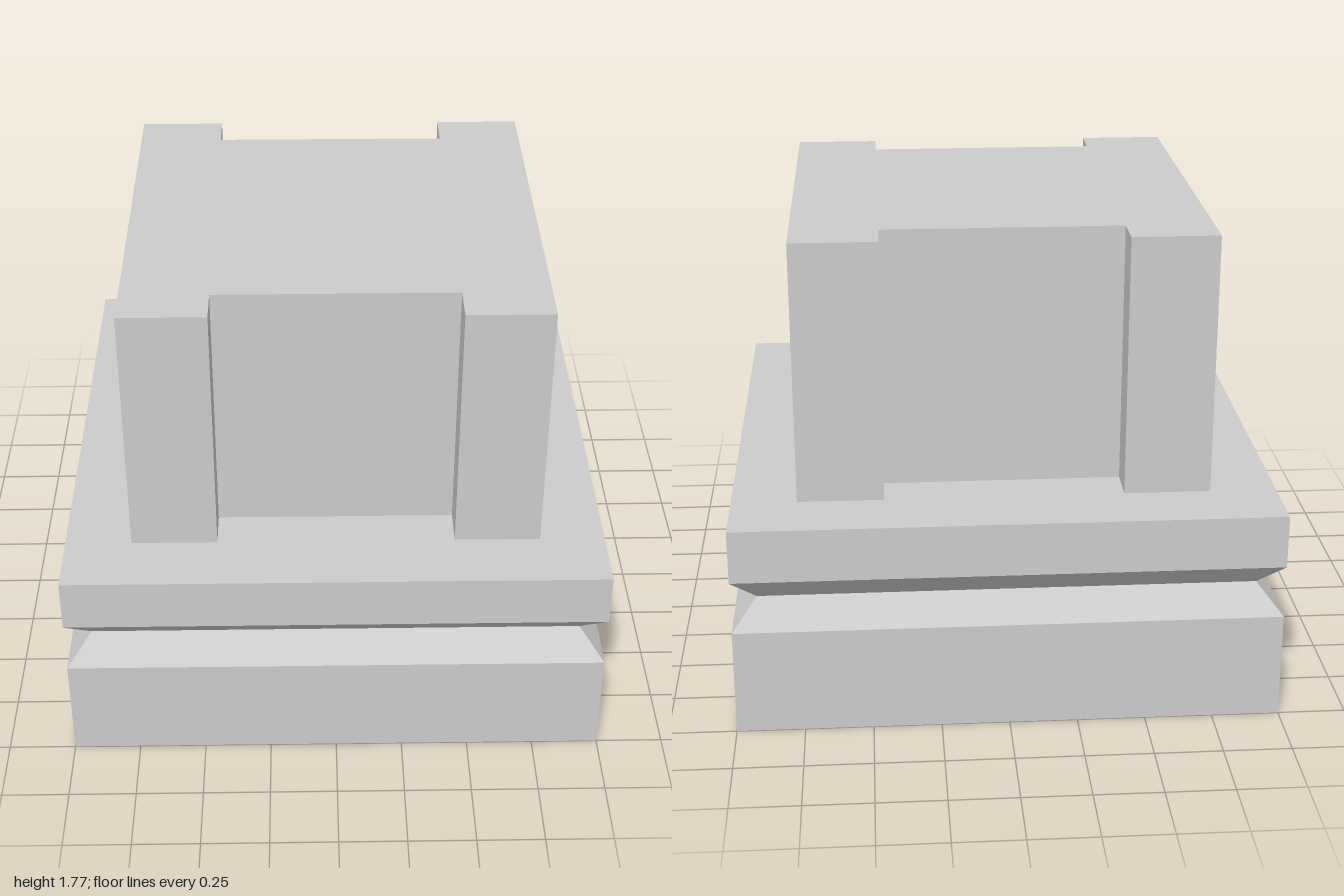
import * as THREE from 'three';

export function createModel() {
  const model = new THREE.Group();
  const grey = new THREE.MeshStandardMaterial({ color: 0xcccccc });
  grey.name = 'light grey';

  function add(name, geometry) {
    const mesh = new THREE.Mesh(geometry, grey);
    mesh.name = name;
    model.add(mesh);
  }

  // Square plinth with a V-groove: half-width and height, turned with four sides
  const profile = [[0, 0], [1, 0], [1, 0.4], [0.91, 0.503], [1, 0.6], [1, 0.8], [0, 0.8]]
    .map(([halfWidth, y]) => new THREE.Vector2(halfWidth * Math.SQRT2, y));
  const plinth = new THREE.LatheGeometry(profile, 4).rotateY(Math.PI / 4).toNonIndexed();
  plinth.computeVertexNormals();
  add('groovedPlinth', plinth);

  // Upper block: plan outline (x, -z) with a wide shallow recess front and back
  const outline = new THREE.Shape([
    [-0.755, -0.76], [-0.437, -0.76], [-0.437, -0.61], [0.443, -0.61],
    [0.443, -0.76], [0.76, -0.76], [0.76, 0.755], [0.443, 0.755],
    [0.443, 0.605], [-0.437, 0.605], [-0.437, 0.755], [-0.755, 0.755],
  ].map(([x, y]) => new THREE.Vector2(x, y)));
  const block = new THREE.ExtrudeGeometry(outline, { depth: 0.975, bevelEnabled: false });
  block.rotateX(-Math.PI / 2).translate(0, 0.8, 0);
  add('recessedBlock', block);

  return model;
}
